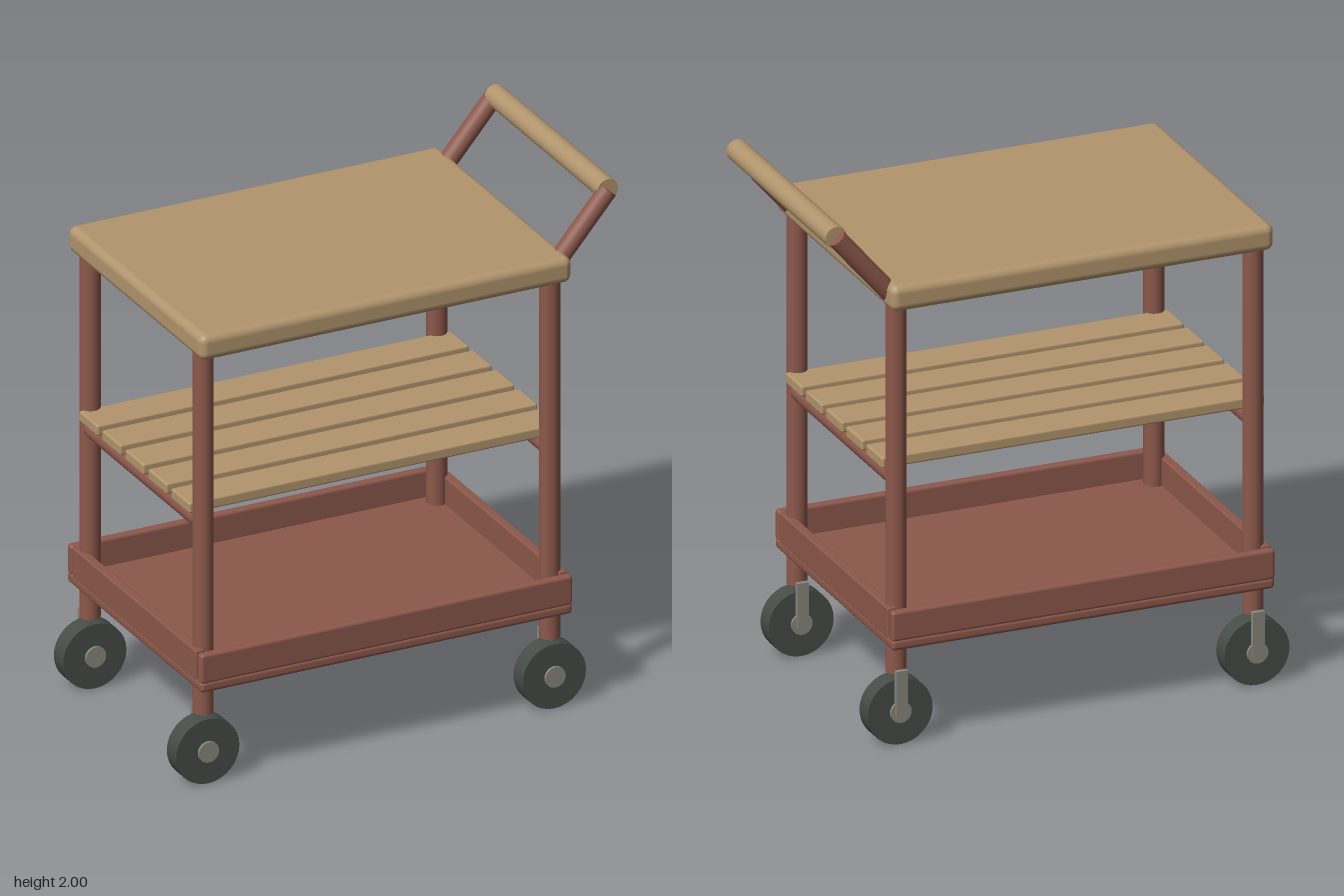
import * as THREE from 'three';
import { RoundedBoxGeometry } from 'three/addons/geometries/RoundedBoxGeometry.js';

const material = (name, color) => {
  const m = new THREE.MeshStandardMaterial({ color });
  m.name = name;
  return m;
};

export function createModel() {
  const wood = material('light wood', 0xb2956d);
  const red = material('red brown paint', 0x8c584b);
  const rubber = material('dark rubber', 0x464c48);
  const metal = material('grey metal', 0x88887e);

  const cart = new THREE.Group();
  cart.name = 'serviceCart';

  const add = (parent, name, geometry, mat, x = 0, y = 0, z = 0) => {
    const mesh = new THREE.Mesh(geometry, mat);
    mesh.name = name;
    mesh.position.set(x, y, z);
    parent.add(mesh);
    return mesh;
  };
  const box = (name, mat, w, h, d, r, x, y, z) =>
    add(cart, name, new RoundedBoxGeometry(w, h, d, 4, r), mat, x, y, z);
  // Round rod between two points
  const rod = (parent, name, mat, a, b, r, sides = 24) => {
    const from = new THREE.Vector3(...a), to = new THREE.Vector3(...b);
    const dir = to.clone().sub(from);
    const mesh = add(parent, name, new THREE.CylinderGeometry(r, r, dir.length(), sides), mat);
    mesh.position.copy(from).add(to).multiplyScalar(0.5);
    mesh.quaternion.setFromUnitVectors(new THREE.Vector3(0, 1, 0), dir.normalize());
    return mesh;
  };

  const legX = [-0.76, 0.61], legZ = [-0.44, 0.44];
  const midX = -0.075, length = 1.47;

  // Table top
  box('tableTop', wood, length, 0.1, 1.05, 0.03, midX, 1.72, 0);

  // Slatted middle shelf on two cross bars
  for (let i = -2; i <= 2; i++)
    box('shelfSlat', wood, length, 0.042, 0.143, 0.008, midX, 1.064, i * 0.179);
  for (const x of legX) rod(cart, 'crossBar', red, [x, 1.008, -0.44], [x, 1.008, 0.44], 0.034);

  // Bottom tray: floor, side rails and end rails
  box('trayFloor', red, length, 0.044, 1.05, 0.016, midX, 0.402, 0);
  for (const s of [-1, 1]) {
    box('traySideRail', red, length, 0.115, 0.035, 0.012, midX, 0.4725, s * 0.507);
    box('trayEndRail', red, 0.035, 0.115, 0.96, 0.006, midX + s * 0.7175, 0.4725, 0);
  }

  // Legs, each with a caster whose bracket sits on the back side
  for (const x of legX) for (const z of legZ) {
    rod(cart, 'leg', red, [x, 0.27, z], [x, 1.7, z], 0.0375);
    const caster = new THREE.Group();
    caster.name = 'caster';
    caster.position.set(x, 0.128, z);
    cart.add(caster);
    rod(caster, 'wheel', rubber, [0, 0, -0.037], [0, 0, 0.037], 0.125, 32);
    rod(caster, 'hub', metal, [0, 0, -0.047], [0, 0, 0.047], 0.04);
    add(caster, 'bracket', new THREE.BoxGeometry(0.045, 0.17, 0.018), metal, 0, 0.075, -0.046);
  }

  // Push handle
  for (const z of legZ) rod(cart, 'handleArm', red, [0.61, 1.69, z], [0.84, 1.96, z], 0.035);
  rod(cart, 'handleGrip', wood, [0.84, 1.96, -0.44], [0.84, 1.96, 0.44], 0.041);

  return cart;
}
